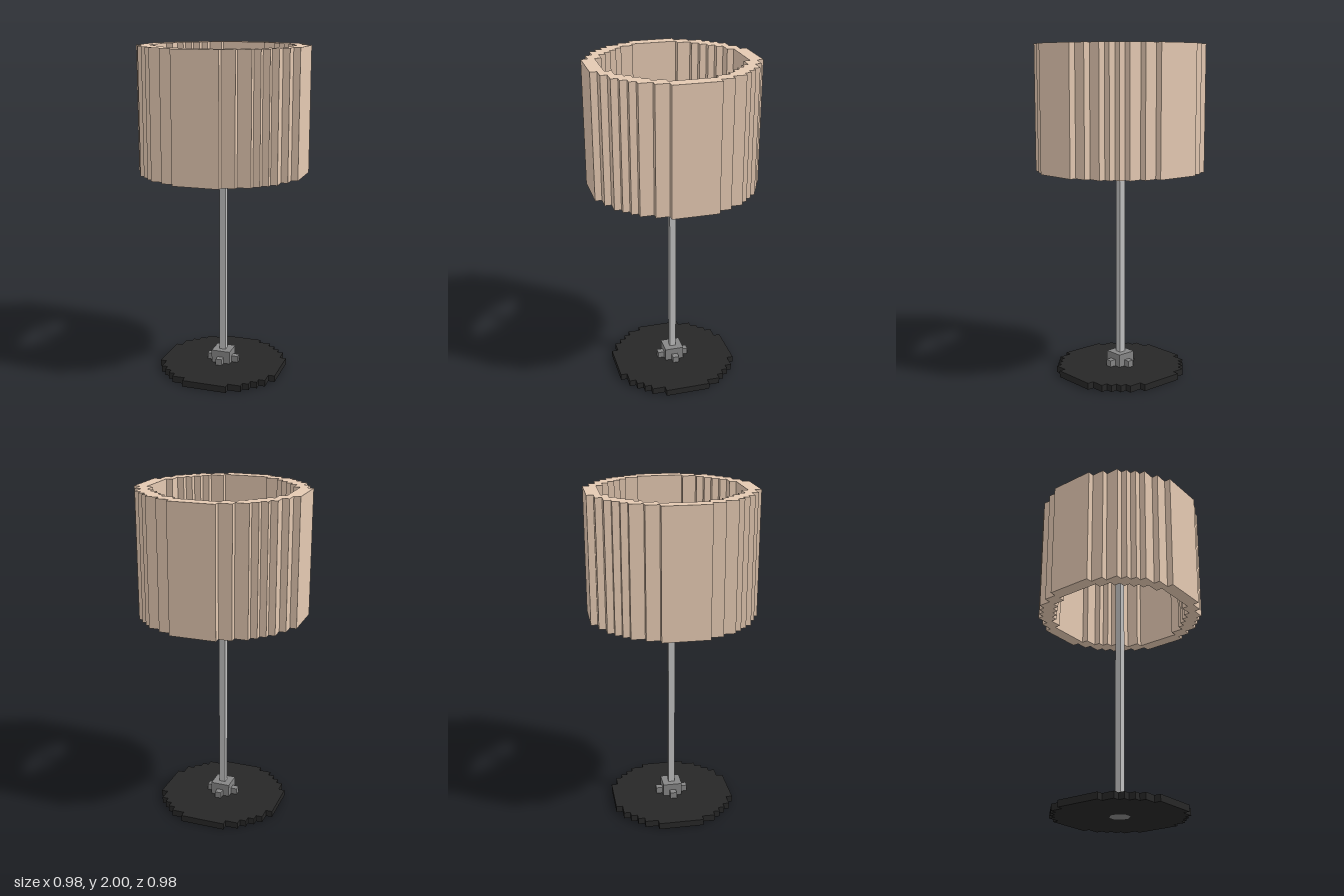
import * as THREE from 'three';

const U = 2 / 51; // size of one block

const material = (name, color) => {
  const m = new THREE.MeshStandardMaterial({ color });
  m.name = name;
  return m;
};

// Closed clockwise outline: one quarter turned four times
function turnedOutline(quarter) {
  const points = [];
  for (let turn = 0; turn < 4; turn++) {
    for (const [x, y] of quarter) {
      const [px, py] = [[x, y], [y, -x], [-x, -y], [-y, x]][turn];
      points.push(new THREE.Vector2(px * U, py * U));
    }
  }
  return points;
}

// Stepped round outline from the outer corners of one quarter
function steppedOutline(corners) {
  const quarter = [];
  corners.forEach(([x, y], i) => {
    if (i > 0) quarter.push([corners[i - 1][0], y]);
    quarter.push([x, y]);
  });
  return turnedOutline(quarter);
}

// Upright extrusion of an outline between two block levels;
// the hole runs the other way round so its walls face inwards
function slab(name, mat, outline, hole, bottom, top) {
  const shape = new THREE.Shape(outline);
  if (hole) shape.holes.push(new THREE.Path([...hole].reverse()));
  const geometry = new THREE.ExtrudeGeometry(shape, { depth: (top - bottom) * U, bevelEnabled: false });
  geometry.rotateX(-Math.PI / 2);
  geometry.translate(0, bottom * U, 0);
  const mesh = new THREE.Mesh(geometry, mat);
  mesh.name = name;
  return mesh;
}

export function createModel() {
  const lamp = new THREE.Group();
  lamp.name = 'floorLamp';

  const fabric = material('beigeFabric', 0xe4c9b2);
  const darkMetal = material('darkMetal', 0x272727);
  const greyMetal = material('greyMetal', 0x868686);
  const lightMetal = material('lightMetal', 0xc0c0c0);

  const shadeOuter = steppedOutline([[3.5, 12.5], [5.5, 11.5], [7.5, 10.5], [8.5, 9.5],
    [9.5, 8.5], [10.5, 7.5], [11.5, 5.5], [12.5, 3.5]]);
  const shadeInner = steppedOutline([[3.5, 10.5], [5.5, 9.5], [6.5, 8.5], [7.5, 7.5],
    [8.5, 6.5], [9.5, 5.5], [10.5, 3.5]]);
  const disc = steppedOutline([[3.5, 9.5], [5.5, 8.5], [6.5, 7.5], [7.5, 6.5], [8.5, 5.5], [9.5, 3.5]]);
  const octagon = turnedOutline([[0.5, 1.5], [1.5, 0.5]]);
  const collar = steppedOutline([[0.5, 2.5], [1.5, 1.5], [2.5, 0.5]]);
  const block = steppedOutline([[1.5, 1.5]]);
  const rod = steppedOutline([[0.5, 0.5]]);

  lamp.add(
    // Base disc with the collar's foot set into it
    slab('base', darkMetal, disc, octagon, 0, 1),
    slab('collarFoot', greyMetal, octagon, null, 0, 1),
    // Stepped collar
    slab('collarLower', greyMetal, collar, null, 1, 2),
    slab('collarUpper', greyMetal, block, null, 2, 3),
    // Pole ends inside the open shade
    slab('pole', lightMetal, rod, null, 3, 42),
    slab('shade', fabric, shadeOuter, shadeInner, 32, 51)
  );
  return lamp;
}
